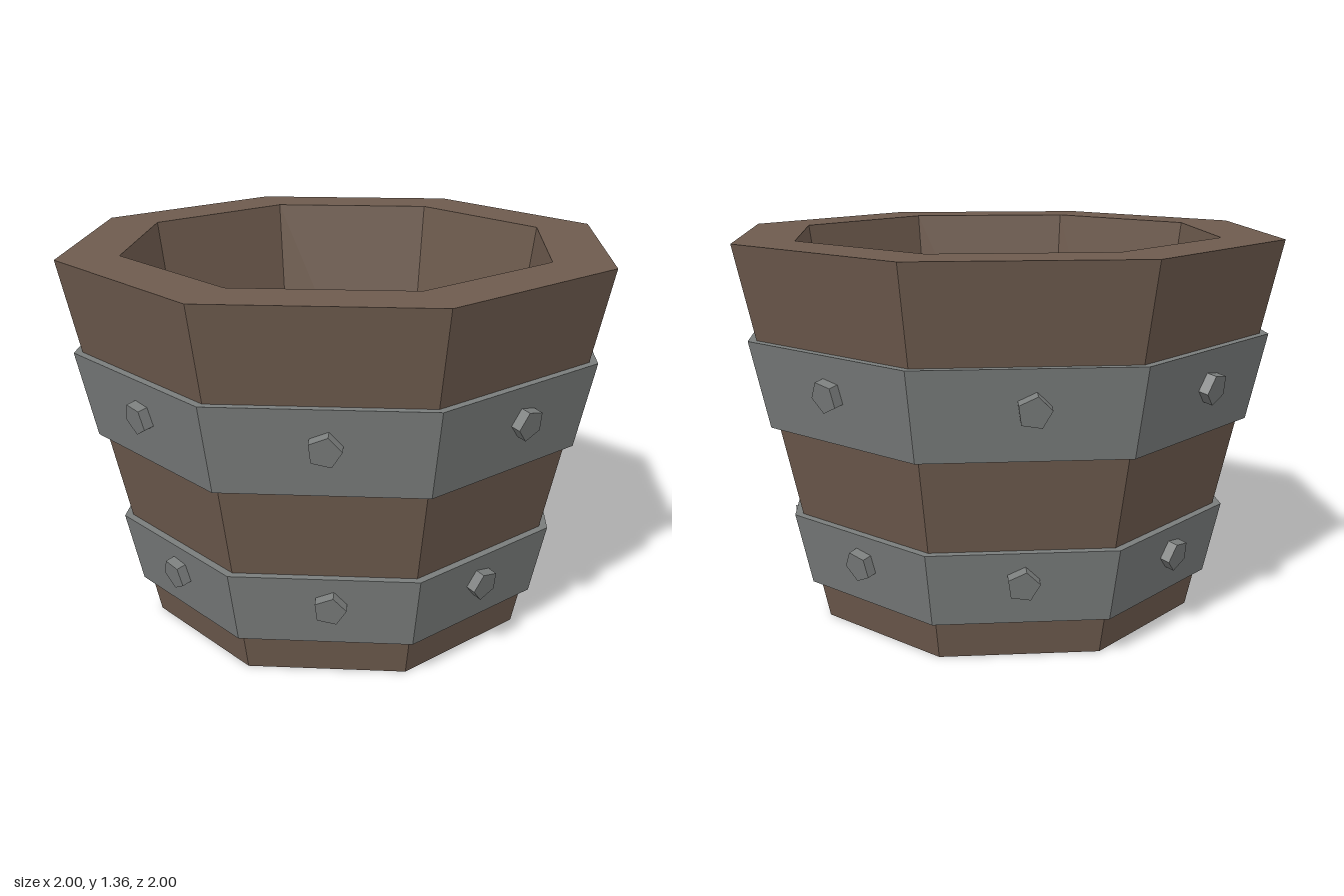
import * as THREE from 'three';

const SIDES = 8;
const HEIGHT = 1.355;
const wallRadius = y => 0.707 + (1 - 0.707) * y / HEIGHT;
const wallTilt = Math.atan((1 - 0.707) * Math.cos(Math.PI / SIDES) / HEIGHT);

const paint = color => new THREE.MeshStandardMaterial({ color, flatShading: true });
const wood = paint(0x6e5b4e);
const iron = paint(0x7a7d7c);
const water = paint(0x52a5d2);

// Octagonal ring or vessel from a profile of [radius, height] pairs
function octagon(name, profile, material) {
  const points = profile.map(([r, y]) => new THREE.Vector2(r, y));
  const mesh = new THREE.Mesh(new THREE.LatheGeometry(points, SIDES), material);
  mesh.name = name;
  return mesh;
}

// Iron hoop that follows the slope of the wall, with one bolt on each side
function createHoop(name, bottom, top, boltY, jitter) {
  const hoop = new THREE.Group();
  hoop.name = name;
  const thick = 0.03, sink = 0.015;
  hoop.add(octagon(name + 'Band', [
    [wallRadius(bottom) - sink, bottom],
    [wallRadius(bottom) + thick, bottom],
    [wallRadius(top) + thick, top],
    [wallRadius(top) - sink, top],
  ], iron));

  // Five-sided bolts, each turned a little differently
  const boltGeometry = new THREE.CylinderGeometry(0.056, 0.056, 0.06, 5);
  boltGeometry.rotateX(Math.PI / 2);
  const faceDistance = (wallRadius(boltY) + thick) * Math.cos(Math.PI / SIDES);
  for (let i = 0; i < SIDES; i++) {
    const mount = new THREE.Group();
    mount.name = name + 'BoltMount';
    mount.rotation.y = (i + 0.5) * 2 * Math.PI / SIDES;
    const bolt = new THREE.Mesh(boltGeometry, iron);
    bolt.name = name + 'Bolt';
    bolt.position.set(jitter[i], boltY, faceDistance + 0.005);
    bolt.rotation.order = 'XYZ';
    bolt.rotation.set(wallTilt, 0, 0.4 + i * 1.9);
    mount.add(bolt);
    hoop.add(mount);
  }
  return hoop;
}

export function createModel() {
  const bucket = new THREE.Group();
  bucket.name = 'bucket';

  // Wooden vessel: base, outer wall, rim, inner wall and floor
  bucket.add(octagon('woodenTub', [
    [0, 0], [wallRadius(0), 0], [1, HEIGHT],
    [0.783, HEIGHT], [0.605, 0.12], [0, 0.12],
  ], wood));

  // Water surface
  const surface = new THREE.Mesh(new THREE.CircleGeometry(0.711, SIDES), water);
  surface.name = 'waterSurface';
  surface.rotation.x = -Math.PI / 2;
  surface.position.y = 0.84;
  bucket.add(surface);

  bucket.add(createHoop('upperHoop', 0.725, 1.03, 0.9,
    [0.015, 0.03, 0.015, 0.01, 0.02, 0.02, 0.01, 0.02]));
  bucket.add(createHoop('lowerHoop', 0.14, 0.4, 0.295,
    [0.02, -0.015, 0.025, 0.01, 0, 0.015, 0, 0.01]));
  return bucket;
}
